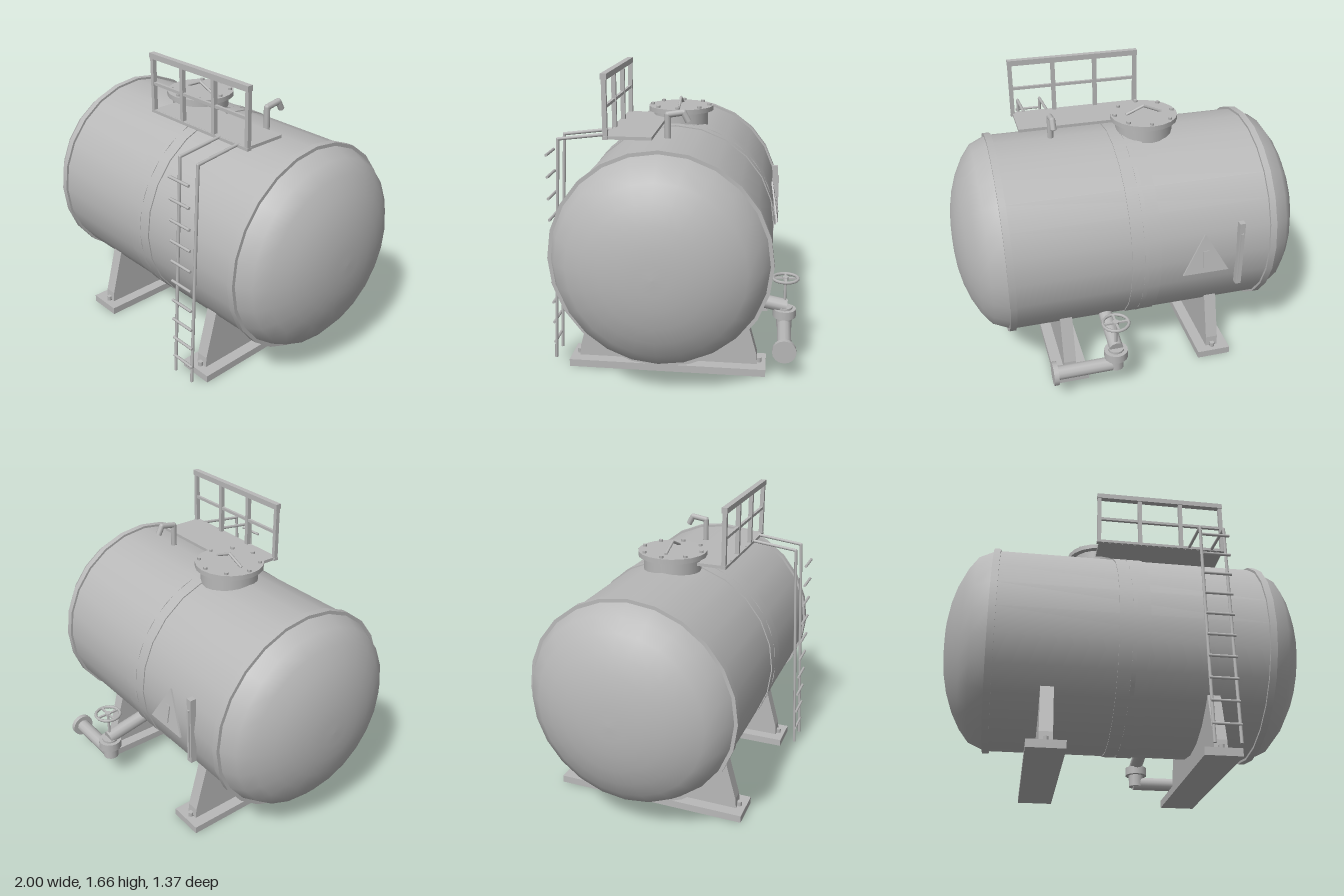
import * as THREE from 'three';

const steel = new THREE.MeshStandardMaterial({ color: 0xb8b8b8 });
steel.name = 'grey steel';

const CY = 0.734, CZ = 0.043; // tank axis height and depth
const V = (x, y, z) => new THREE.Vector3(x, y, z);

export function createModel() {
  const model = new THREE.Group();
  model.name = 'storageTank';

  const group = (name) => {
    const g = new THREE.Group();
    g.name = name;
    model.add(g);
    return g;
  };
  const add = (parent, name, geo, x = 0, y = 0, z = 0) => {
    const m = new THREE.Mesh(geo, steel);
    m.name = name;
    m.position.set(x, y, z);
    parent.add(m);
    return m;
  };
  const box = (parent, name, w, h, d, x, y, z) =>
    add(parent, name, new THREE.BoxGeometry(w, h, d), x, y, z);
  const disc = (parent, name, r, h, x, y, z, seg = 16) =>
    add(parent, name, new THREE.CylinderGeometry(r, r, h, seg), x, y, z);
  // Straight round bar between two points
  const rod = (parent, name, a, b, r, seg = 8) => {
    const m = add(parent, name, new THREE.CylinderGeometry(r, r, a.distanceTo(b), seg));
    m.position.copy(a).add(b).multiplyScalar(0.5);
    m.quaternion.setFromUnitVectors(V(0, 1, 0), b.clone().sub(a).normalize());
    return m;
  };
  // Bent bar through several points, with a ball at each bend
  const bentRod = (parent, name, pts, r, seg = 8) => {
    for (let i = 1; i < pts.length; i++) rod(parent, name, pts[i - 1], pts[i], r, seg);
    pts.slice(1, -1).forEach((p) =>
      add(parent, name + 'Bend', new THREE.SphereGeometry(r, seg, 6), p.x, p.y, p.z));
  };

  // Tank shell, domed ends and bands, all turned about the x axis
  const tank = group('tank');
  const ring = (name, r, w, x, seg = 24, open = false) =>
    add(tank, name, new THREE.CylinderGeometry(r, r, w, seg, 1, open).rotateZ(-Math.PI / 2), x, CY, CZ);
  ring('shell', 0.567, 1.5, 0, 24, true);
  const dome = [[0.567, 0.74], [0.524, 0.836], [0.454, 0.89], [0.363, 0.937], [0.27, 0.969], [0.17, 0.99], [0.08, 0.998], [0, 1]];
  for (const s of [1, -1]) {
    const pts = dome.map(([r, x]) => new THREE.Vector2(r, s * x));
    if (s < 0) pts.reverse();
    add(tank, 'domedEnd', new THREE.LatheGeometry(pts, 24).rotateZ(-Math.PI / 2), 0, CY, CZ);
    ring('endBand', 0.58, 0.037, s * 0.735);
  }
  ring('middleBand', 0.573, 0.165, 0);
  ring('weldSeam', 0.572, 0.024, 0, 48);

  // Saddle supports with base plates and anchor bolts
  for (const x of [-0.435, 0.433]) {
    const saddle = group('saddle');
    box(saddle, 'basePlate', 0.197, 0.042, 1.1, x, 0.021, CZ);
    const half = [[0.503, 0.04], [0.498, 0.1], [0.425, 0.364]];
    const outline = [...half, [0.3, 0.42], ...[[0.3, 0.42], ...half.slice().reverse()].map(([z, y]) => [-z, y])];
    const shape = new THREE.Shape(outline.map(([z, y]) => new THREE.Vector2(z, y)));
    const web = new THREE.ExtrudeGeometry(shape, { depth: 0.07, bevelEnabled: false });
    add(saddle, 'web', web.translate(0, 0, -0.035).rotateY(Math.PI / 2), x, 0, CZ);
    for (const s of [1, -1]) disc(saddle, 'anchorBolt', 0.015, 0.03, x, 0.053, CZ + s * 0.512, 6);
  }

  // Manhole with bolted lid and handle
  const manhole = group('manhole');
  const MX = -0.134, MZ = 0.037;
  disc(manhole, 'neck', 0.16, 0.16, MX, 1.285, MZ, 20);
  disc(manhole, 'lid', 0.19, 0.027, MX, 1.374, MZ, 20);
  for (let i = 0; i < 8; i++) {
    const a = (i * Math.PI) / 4;
    disc(manhole, 'lidBolt', 0.012, 0.02, MX + 0.167 * Math.cos(a), 1.39, MZ + 0.167 * Math.sin(a), 6);
  }
  bentRod(manhole, 'handle', [V(-0.237, 1.388, MZ), V(MX, 1.432, MZ), V(-0.031, 1.388, MZ)], 0.008);

  // Bent vent pipe on the top
  bentRod(group('vent'), 'ventPipe',
    [V(0.4, 1.26, 0.043), V(0.4, 1.425, 0.043), V(0.4, 1.438, -0.04), V(0.4, 1.39, -0.066)], 0.017);

  // Walkway and guard rail
  const walkway = group('walkway');
  box(walkway, 'deck', 0.733, 0.017, 0.245, 0.2, 1.329, 0.226);
  const RZ = 0.343;
  box(walkway, 'topRail', 0.755, 0.03, 0.033, 0.2, 1.641, RZ);
  box(walkway, 'middleRail', 0.74, 0.016, 0.016, 0.2, 1.487, RZ);
  box(walkway, 'toeRail', 0.755, 0.016, 0.028, 0.2, 1.329, RZ);
  for (const x of [-0.165, 0.076, 0.32, 0.565]) box(walkway, 'railPost', 0.022, 0.31, 0.024, x, 1.48, RZ);

  // Access ladder
  const ladder = group('ladder');
  for (const x of [0.366, 0.5])
    bentRod(ladder, 'stringer', [V(x, 0.037, 0.677), V(x, 1.303, 0.61), V(x, 1.335, 0.345)], 0.009);
  for (let i = 0; i < 10; i++) {
    const y = 0.135 + i * 0.12;
    rod(ladder, 'rung', V(0.358, y, 0.677), V(0.508, y, 0.677), 0.008);
  }

  // Drain pipe, valve and hand wheel at the back
  const drain = group('drainValve');
  const VX = 0.198, VZ = -0.605;
  rod(drain, 'inletPipe', V(VX, 0.345, -0.3), V(VX, 0.283, -0.615), 0.04, 12);
  disc(drain, 'valveBody', 0.045, 0.13, VX, 0.215, VZ, 12);
  disc(drain, 'valveFlange', 0.067, 0.048, VX, 0.244, VZ);
  rod(drain, 'outletPipe', V(0.18, 0.17, VZ), V(0.54, 0.17, VZ), 0.04, 12);
  rod(drain, 'outletFlange', V(0.533, 0.17, VZ), V(0.56, 0.17, VZ), 0.066, 16);
  disc(drain, 'stem', 0.008, 0.2, VX, 0.364, VZ, 8);
  add(drain, 'handWheel', new THREE.TorusGeometry(0.072, 0.009, 6, 18).rotateX(Math.PI / 2), VX, 0.455, VZ);
  disc(drain, 'wheelHub', 0.018, 0.018, VX, 0.455, VZ, 10);
  box(drain, 'spoke', 0.144, 0.01, 0.012, VX, 0.455, VZ);
  box(drain, 'spoke', 0.012, 0.01, 0.144, VX, 0.455, VZ);

  // Leaning triangular warning plate with a raised bar
  const sign = group('warningPlate');
  const tri = new THREE.Shape([new THREE.Vector2(-0.132, -0.076), new THREE.Vector2(0.132, -0.076), new THREE.Vector2(0, 0.153)]);
  add(sign, 'triangle', new THREE.ExtrudeGeometry(tri, { depth: 0.01, bevelEnabled: false }));
  box(sign, 'raisedBar', 0.035, 0.1, 0.008, 0, 0.005, 0.013);
  sign.position.set(-0.333, 0.73, -0.53);
  sign.rotation.set(0.17, Math.PI, 0);

  // Level gauge
  const gauge = group('levelGauge');
  box(gauge, 'gaugeBody', 0.032, 0.395, 0.035, -0.535, 0.737, -0.527);
  box(gauge, 'gaugeGlass', 0.014, 0.3, 0.009, -0.535, 0.722, -0.548);

  return model;
}
